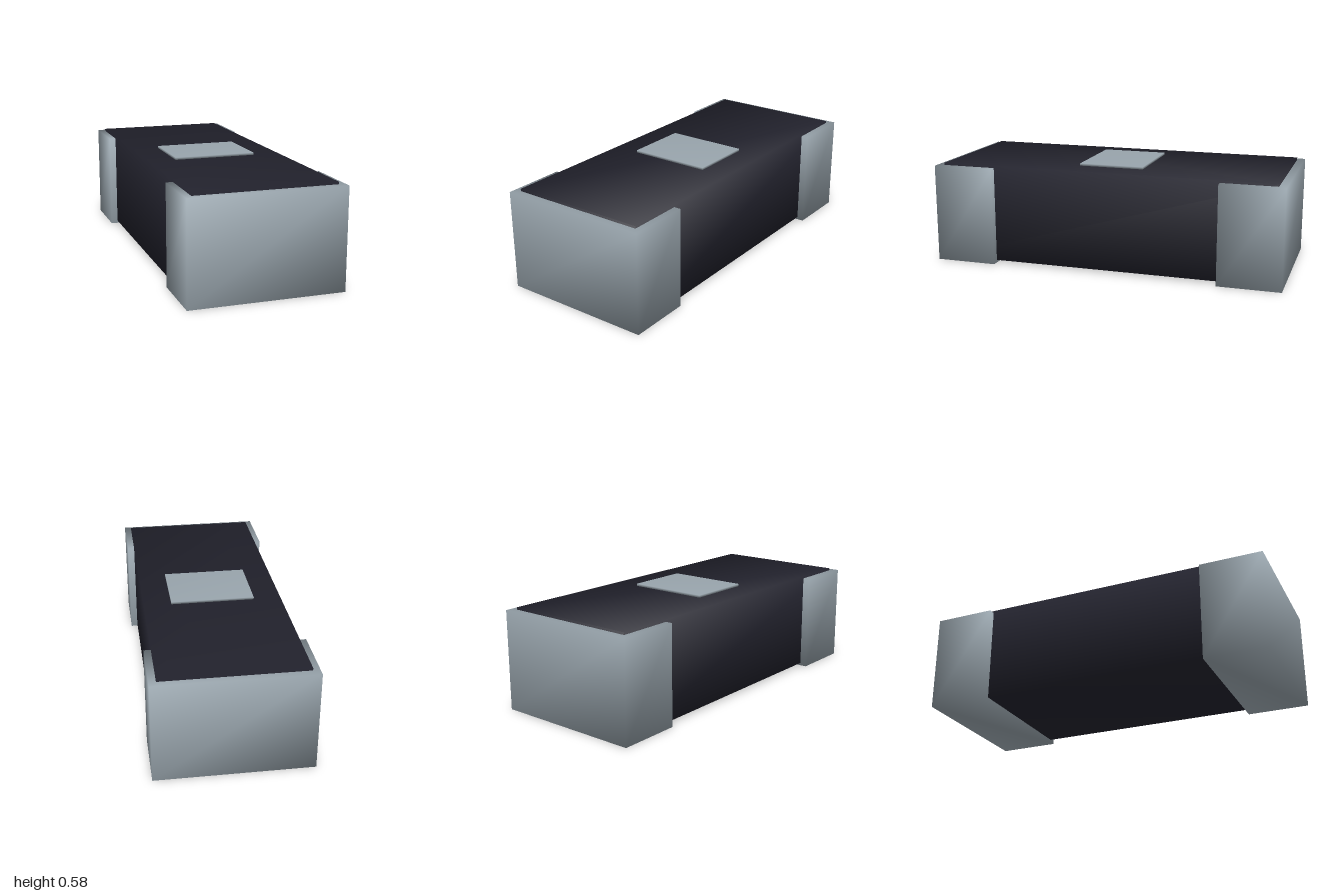
import * as THREE from 'three';
import { mergeVertices } from 'three/addons/utils/BufferGeometryUtils.js';

// Box with corners shared between faces, so the shading runs smoothly round it
function softBox(width, height, depth) {
  const box = new THREE.BoxGeometry(width, height, depth);
  box.deleteAttribute('normal');
  box.deleteAttribute('uv');
  const geometry = mergeVertices(box);
  geometry.computeVertexNormals();
  return geometry;
}

export function createModel() {
  const model = new THREE.Group();
  model.name = 'chipComponent';

  const metal = new THREE.MeshStandardMaterial({ color: 0x99a5ad });
  metal.name = 'grey metal';
  const dark = new THREE.MeshStandardMaterial({ color: 0x23232e });
  dark.name = 'dark casing';

  const addBox = (name, material, width, y0, y1, z0, z1) => {
    const mesh = new THREE.Mesh(softBox(width, y1 - y0, z1 - z0), material);
    mesh.name = name;
    mesh.position.set(0, (y0 + y1) / 2, (z0 + z1) / 2);
    model.add(mesh);
  };

  // Casing, running through both end caps and standing slightly proud on top
  addBox('body', dark, 0.77, 0.015, 0.57, -0.957, 0.957);

  // Metal contact at each end
  addBox('frontTerminal', metal, 0.846, 0, 0.557, 0.648, 1);
  addBox('backTerminal', metal, 0.846, 0, 0.557, -1, -0.648);

  // Thin marking plate on top
  addBox('topPlate', metal, 0.464, 0.57, 0.583, -0.184, 0.184);

  return model;
}
